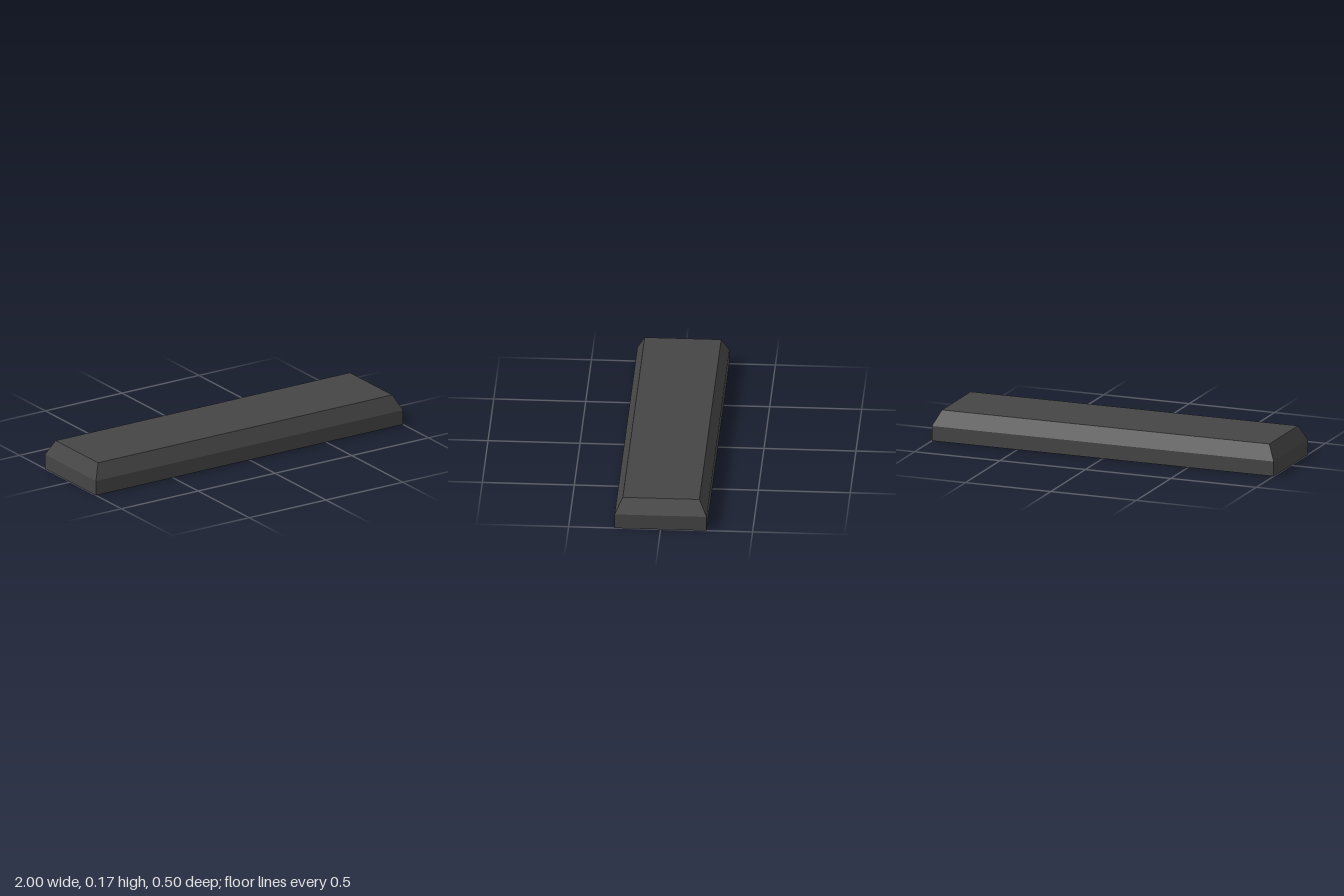
import * as THREE from 'three';

const mat = (name, color) => {
  const m = new THREE.MeshStandardMaterial({ color });
  m.name = name;
  return m;
};

const HALF_X = 1, HALF_Z = 0.25, RIM = 0.062, COVER_Y = 0.04;

// Rectangular shell swept from a profile of [inset from the edge, height]
function rectangularShell(profile) {
  const signs = [[1, 1], [1, -1], [-1, -1], [-1, 1]];
  const rings = profile.map(([inset, y]) =>
    signs.map(([sx, sz]) => [sx * (HALF_X - inset), y, sz * (HALF_Z - inset)]));
  const pos = [];
  const quad = (a, b, c, d) => pos.push(...a, ...b, ...c, ...a, ...c, ...d);
  for (let i = 0; i < rings.length - 1; i++) {
    for (let k = 0; k < 4; k++) {
      const n = (k + 1) % 4;
      quad(rings[i][k], rings[i][n], rings[i + 1][n], rings[i + 1][k]);
    }
  }
  quad(...rings[rings.length - 1]); // flat top
  const g = new THREE.BufferGeometry();
  g.setAttribute('position', new THREE.Float32BufferAttribute(pos, 3));
  g.computeVertexNormals();
  return g;
}

export function createModel() {
  const model = new THREE.Group();
  model.name = 'ceilingLight';
  const housingMat = mat('charcoal housing', 0x454545);
  const coverMat = mat('smoked brown', 0x40382a);
  const haloMat = mat('dim gold', 0xa88c48);
  const tubeMat = mat('gold', 0xcaa840);
  const coreMat = mat('pale tube', 0xc4bd9c);

  const add = (parent, name, geometry, material) => {
    const m = new THREE.Mesh(geometry, material);
    m.name = name;
    parent.add(m);
    return m;
  };

  // Housing: recess wall, bottom rim, outer wall, chamfer and top
  add(model, 'housing', rectangularShell([
    [RIM, COVER_Y + 0.01], [RIM, 0], [0, 0], [0, 0.083], [0.042, 0.167],
  ]), housingMat);

  // Diffuser set into the recess
  const cover = add(model, 'diffuser', new THREE.BoxGeometry(
    2 * (HALF_X - RIM), 0.008, 2 * (HALF_Z - RIM)), coverMat);
  cover.position.y = COVER_Y + 0.004;

  // Flattened capsule lying along x
  const lamp = (parent, name, halfX, halfY, halfZ, material) => {
    const g = new THREE.CapsuleGeometry(halfZ, 2 * (halfX - halfZ), 8, 24);
    g.rotateZ(Math.PI / 2);
    g.scale(1, halfY / halfZ, 1);
    add(parent, name, g, material);
  };

  // Two tubes, each with a broad glow around it and a pale core
  for (const side of [1, -1]) {
    const tube = new THREE.Group();
    tube.name = side > 0 ? 'frontTube' : 'backTube';
    tube.position.set(0, COVER_Y, side * 0.095);
    lamp(tube, 'glow', 0.76, 0.005, 0.095, haloMat);
    lamp(tube, 'tube', 0.73, 0.01, 0.064, tubeMat);
    lamp(tube, 'core', 0.69, 0.014, 0.018, coreMat);
    model.add(tube);
  }

  return model;
}
